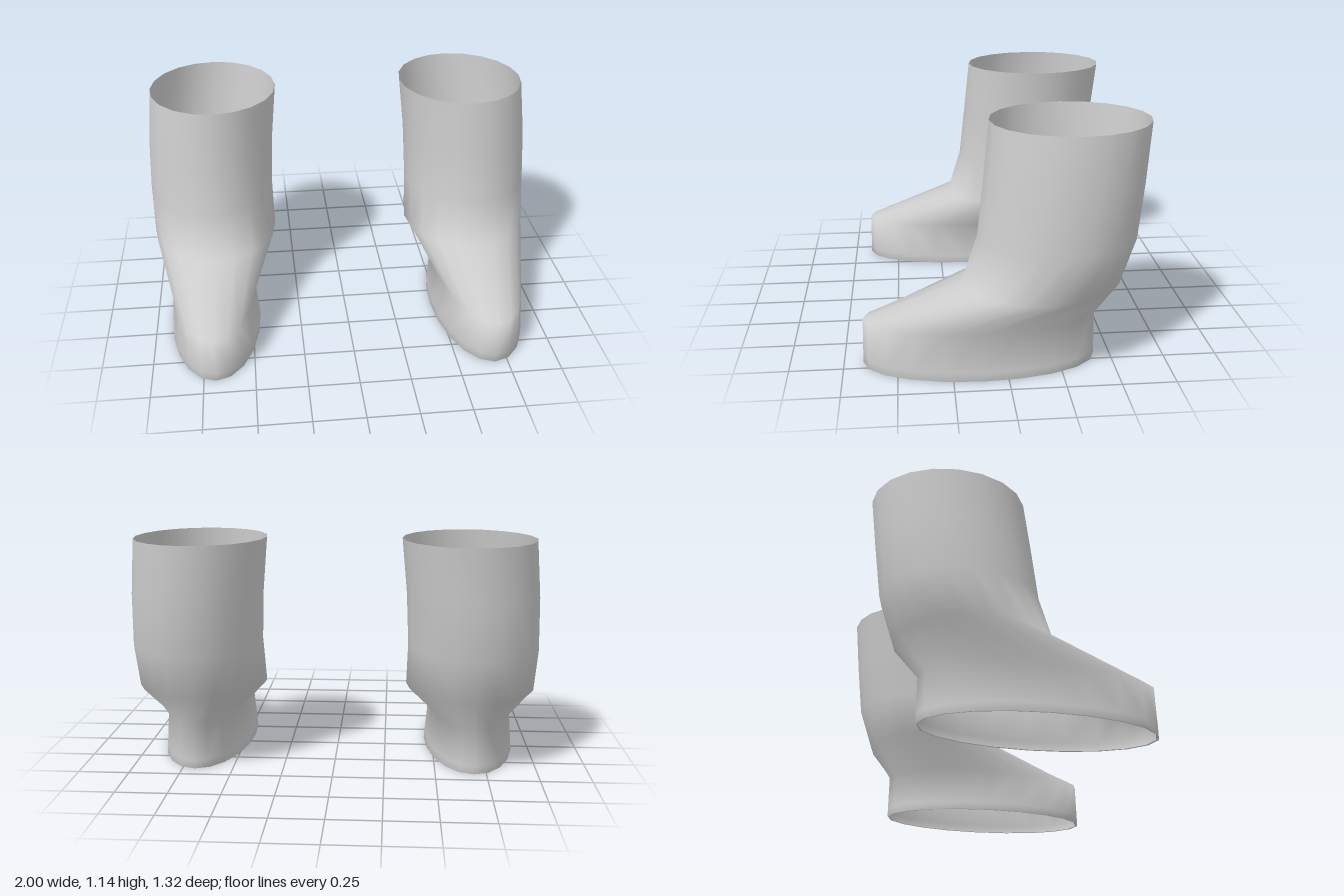
import * as THREE from 'three';

const SIDES = 20;

// Boot cross-sections from sole to cuff: height, inner x, outer x, back z, front z
const RINGS = [
  [0.0, 0.47, 0.91, -0.415, 0.648],
  [0.0, 0.46, 0.92, -0.425, 0.66],
  [0.04, 0.463, 0.917, -0.425, 0.66],
  [0.225, 0.482, 0.902, -0.422, 0.656],
  [0.39, 0.355, 0.993, -0.535, 0.195],
  [0.61, 0.361, 1.0, -0.605, 0.125],
  [0.87, 0.35, 0.99, -0.634, 0.097],
  [1.14, 0.325, 0.965, -0.66, 0.07],
];

// Open tube lofted through elliptical rings; side = 1 (left) or -1 (right)
function bootGeometry(side) {
  const positions = [];
  const index = [];
  for (const [y, x0, x1, z0, z1] of RINGS) {
    for (let i = 0; i < SIDES; i++) {
      const a = (i / SIDES) * Math.PI * 2;
      const x = (x0 + x1) / 2 + ((x1 - x0) / 2) * Math.sin(a);
      const z = (z0 + z1) / 2 + ((z1 - z0) / 2) * Math.cos(a);
      positions.push(side * x, y, z);
    }
  }
  for (let r = 0; r < RINGS.length - 1; r++) {
    for (let i = 0; i < SIDES; i++) {
      const a = r * SIDES + i;
      const b = r * SIDES + ((i + 1) % SIDES);
      const c = b + SIDES;
      const d = a + SIDES;
      if (side > 0) index.push(a, b, c, a, c, d);
      else index.push(a, c, b, a, d, c);
    }
  }
  const geometry = new THREE.BufferGeometry();
  geometry.setAttribute('position', new THREE.Float32BufferAttribute(positions, 3));
  geometry.setIndex(index);
  geometry.computeVertexNormals();
  return geometry;
}

export function createModel() {
  const group = new THREE.Group();
  group.name = 'boots';
  const grey = new THREE.MeshStandardMaterial({ color: 0xcccccc, side: THREE.DoubleSide });
  grey.name = 'light grey';

  // Mirrored pair
  for (const [name, side] of [['leftBoot', 1], ['rightBoot', -1]]) {
    const boot = new THREE.Mesh(bootGeometry(side), grey);
    boot.name = name;
    group.add(boot);
  }
  return group;
}
